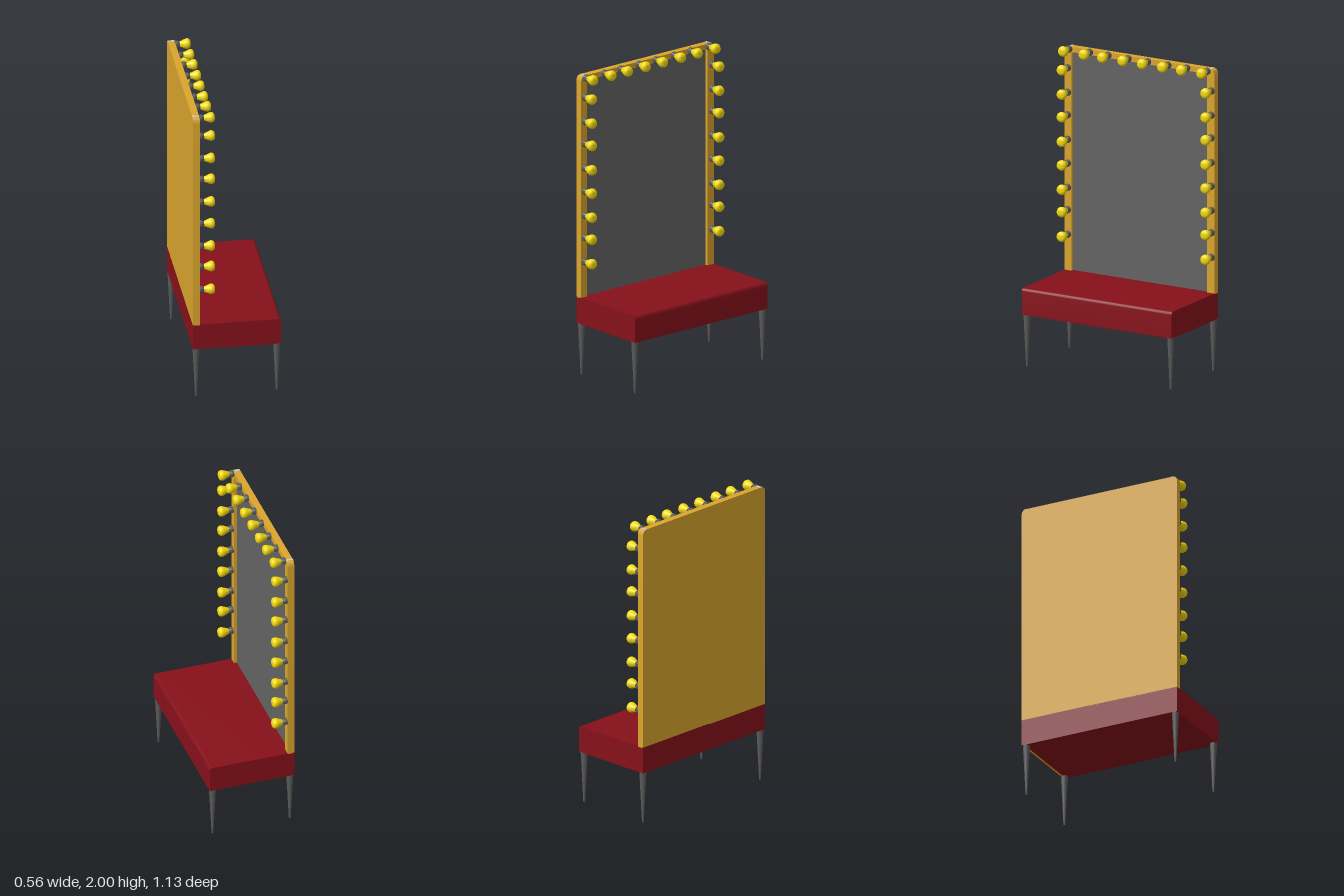
import * as THREE from 'three';
import { toCreasedNormals } from 'three/addons/utils/BufferGeometryUtils.js';

const mat = (color, side = THREE.FrontSide) => new THREE.MeshStandardMaterial({ color, side });
const gold = mat(0xdaa52c);
const red = mat(0x86101a);
const glass = mat(0x646464);
const metal = mat(0x5a5a5a);
const yellow = mat(0xf2d90c);
const grey = mat(0xcccccc);

function add(parent, name, geometry, material, x = 0, y = 0, z = 0) {
  const mesh = new THREE.Mesh(geometry, material);
  mesh.name = name;
  mesh.position.set(x, y, z);
  parent.add(mesh);
  return mesh;
}

// Extrudes an outline drawn in (-z, y) along +x
function extrudeX(shape, depth) {
  const g = new THREE.ExtrudeGeometry(shape, { depth, bevelEnabled: false, curveSegments: 6 });
  return toCreasedNormals(g.rotateY(Math.PI / 2), 0.6);
}

// Board outline with rounded top corners
function boardShape() {
  const l = -0.56, r = 0.55, b = 0.51, t = 1.985, c = 0.035;
  const s = new THREE.Shape();
  s.moveTo(l, b);
  s.lineTo(r, b);
  s.lineTo(r, t - c);
  s.quadraticCurveTo(r, t, r - c, t);
  s.lineTo(l + c, t);
  s.quadraticCurveTo(l, t, l, t - c);
  s.closePath();
  return s;
}

// Light bulb pointing along +x, with its socket
const lathe = (pts) => toCreasedNormals(
  new THREE.LatheGeometry(pts.map(([r, y]) => new THREE.Vector2(r, y)), 16).rotateZ(-Math.PI / 2), 0.7);
const socketGeo = lathe([[0, 0], [0.02, 0], [0.023, 0.003], [0.023, 0.02], [0.019, 0.025], [0.017, 0.032], [0, 0.032]]);
const bulbGeo = lathe([[0.013, 0.024], [0.017, 0.03], [0.023, 0.046], [0.03, 0.062], [0.034, 0.074],
  [0.0335, 0.085], [0.029, 0.094], [0.021, 0.099], [0.011, 0.101], [0, 0.102]]);

function makeBulb(y, z) {
  const g = new THREE.Group();
  g.name = 'lightBulb';
  add(g, 'socket', socketGeo, metal);
  add(g, 'bulb', bulbGeo, yellow);
  g.position.set(-0.242, y, z);
  return g;
}

export function createModel() {
  const model = new THREE.Group();
  model.name = 'vanityMirrorBench';

  // Mirror: solid back board, raised rim open at the bottom, recessed glass
  add(model, 'backBoard', extrudeX(boardShape(), 0.02), gold, -0.285);
  const rim = new THREE.Shape();
  const outer = boardShape().getPoints(6);
  rim.setFromPoints([
    new THREE.Vector2(-0.51, 0.51), new THREE.Vector2(-0.51, 1.95),
    new THREE.Vector2(0.495, 1.95), new THREE.Vector2(0.495, 0.51),
    ...outer.slice(1), outer[0],
  ]);
  add(model, 'frameRim', extrudeX(rim, 0.025), gold, -0.265);
  add(model, 'mirrorGlass', new THREE.BoxGeometry(0.006, 1.44, 1.005), glass, -0.262, 1.23, 0.0075);
  for (const z of [0.525, -0.52]) {
    add(model, 'frameClip', new THREE.BoxGeometry(0.044, 0.004, 0.018), grey, -0.263, 1.984, z);
  }

  // Seat block with a rounded front top edge
  const seat = new THREE.Shape();
  seat.moveTo(-0.285, 0.34);
  seat.lineTo(0.28, 0.34);
  seat.lineTo(0.28, 0.495);
  seat.quadraticCurveTo(0.28, 0.515, 0.26, 0.515);
  seat.lineTo(-0.285, 0.515);
  seat.closePath();
  const seatGeo = new THREE.ExtrudeGeometry(seat, { depth: 1.11, bevelEnabled: false, curveSegments: 6 });
  add(model, 'seat', toCreasedNormals(seatGeo, 0.6), red, 0, 0, -0.55);
  add(model, 'seatTrim', new THREE.BoxGeometry(0.48, 0.004, 0.012), gold, 0, 0.3395, -0.538);

  // Tapered legs
  const legGeo = new THREE.CylinderGeometry(0.023, 0.006, 0.345, 16);
  for (const x of [-0.262, 0.255]) {
    for (const z of [0.538, -0.528]) add(model, 'leg', legGeo, metal, x, 0.1725, z);
  }

  // Bulbs along the top and down both sides
  for (const z of [0.525, 0.372, 0.235, 0.085, -0.06, -0.21, -0.35, -0.5]) model.add(makeBulb(1.97, z));
  for (const y of [1.845, 1.685, 1.537, 1.375, 1.22, 1.06, 0.914, 0.752]) {
    for (const z of [0.535, -0.53]) model.add(makeBulb(y, z));
  }
  return model;
}
